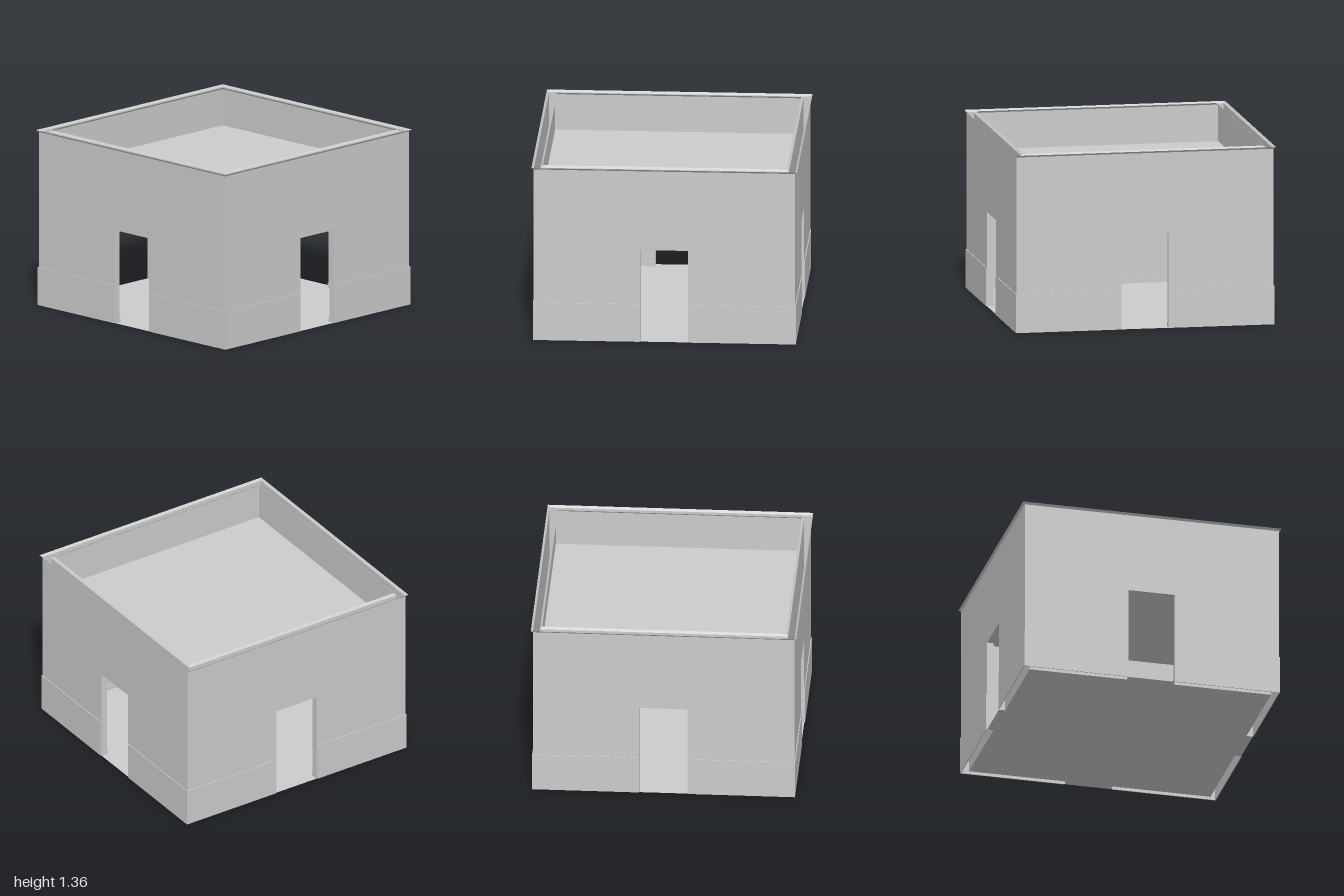
import * as THREE from 'three';

const OUT = 0.984, IN = 0.935;      // outer and inner wall faces
const H = 1.355, LIP = 0.015;       // total height, cornice height
const DOOR = 0.18, DOOR_H = 0.72;   // door half width and height
const ROOF = 1.06;

const mat = new THREE.MeshStandardMaterial({ color: 0xcccccc, side: THREE.DoubleSide, flatShading: true });

function add(parent, name, geo, x = 0, y = 0, z = 0) {
  const m = new THREE.Mesh(geo, mat);
  m.name = name;
  m.position.set(x, y, z);
  parent.add(m);
  return m;
}

// Wall face with a door notch rising from the ground
function wallFace(half) {
  const s = new THREE.Shape();
  s.moveTo(-half, 0);
  s.lineTo(-DOOR, 0);
  s.lineTo(-DOOR, DOOR_H);
  s.lineTo(DOOR, DOOR_H);
  s.lineTo(DOOR, 0);
  s.lineTo(half, 0);
  s.lineTo(half, H - LIP);
  s.lineTo(-half, H - LIP);
  return new THREE.ShapeGeometry(s);
}

// Open square band, flaring from one half width to another
function squareBand(topHalf, bottomHalf, height) {
  return new THREE.CylinderGeometry(topHalf * Math.SQRT2, bottomHalf * Math.SQRT2, height, 4, 1, true)
    .rotateY(Math.PI / 4);
}

// One side of the building, facing +z
function createSide() {
  const side = new THREE.Group();
  const depth = OUT - IN, mid = (OUT + IN) / 2;
  add(side, 'outerWall', wallFace(OUT), 0, 0, OUT);
  add(side, 'innerWall', wallFace(IN).rotateY(Math.PI), 0, 0, IN);

  // Door lining
  add(side, 'doorLintel', new THREE.PlaneGeometry(2 * DOOR, depth).rotateX(Math.PI / 2), 0, DOOR_H, mid);
  add(side, 'threshold', new THREE.PlaneGeometry(2 * DOOR, depth).rotateX(-Math.PI / 2), 0, 0, mid);
  for (const s of [-1, 1]) {
    add(side, 'doorJamb', new THREE.PlaneGeometry(depth, DOOR_H).rotateY(-s * Math.PI / 2), s * DOOR, DOOR_H / 2, mid);

    // Plinth outside and low baseboard inside, stopping at the door
    const a = DOOR + 0.006, b = 0.99;
    add(side, 'plinth', new THREE.BoxGeometry(b - a, 0.295, b - OUT), s * (a + b) / 2, 0.1475, (OUT + b) / 2);
    add(side, 'baseboard', new THREE.BoxGeometry(IN - DOOR, 0.035, 0.008), s * (IN + DOOR) / 2, 0.0175, IN - 0.004);
  }
  return side;
}

export function createModel() {
  const model = new THREE.Group();
  model.name = 'building';

  for (let i = 0; i < 4; i++) {
    const side = createSide();
    side.name = ['frontSide', 'leftSide', 'backSide', 'rightSide'][i];
    side.rotation.y = i * Math.PI / 2;
    model.add(side);
  }

  // Floor and sunken flat roof
  const slab = new THREE.PlaneGeometry(2 * IN, 2 * IN).rotateX(-Math.PI / 2);
  add(model, 'floor', slab);
  add(model, 'roof', slab, 0, ROOF, 0);

  // Cornice lips on both faces of the parapet
  add(model, 'outerCornice', squareBand(1, OUT, LIP), 0, H - LIP / 2, 0);
  add(model, 'innerCornice', squareBand(0.918, IN, LIP), 0, H - LIP / 2, 0);

  return model;
}
